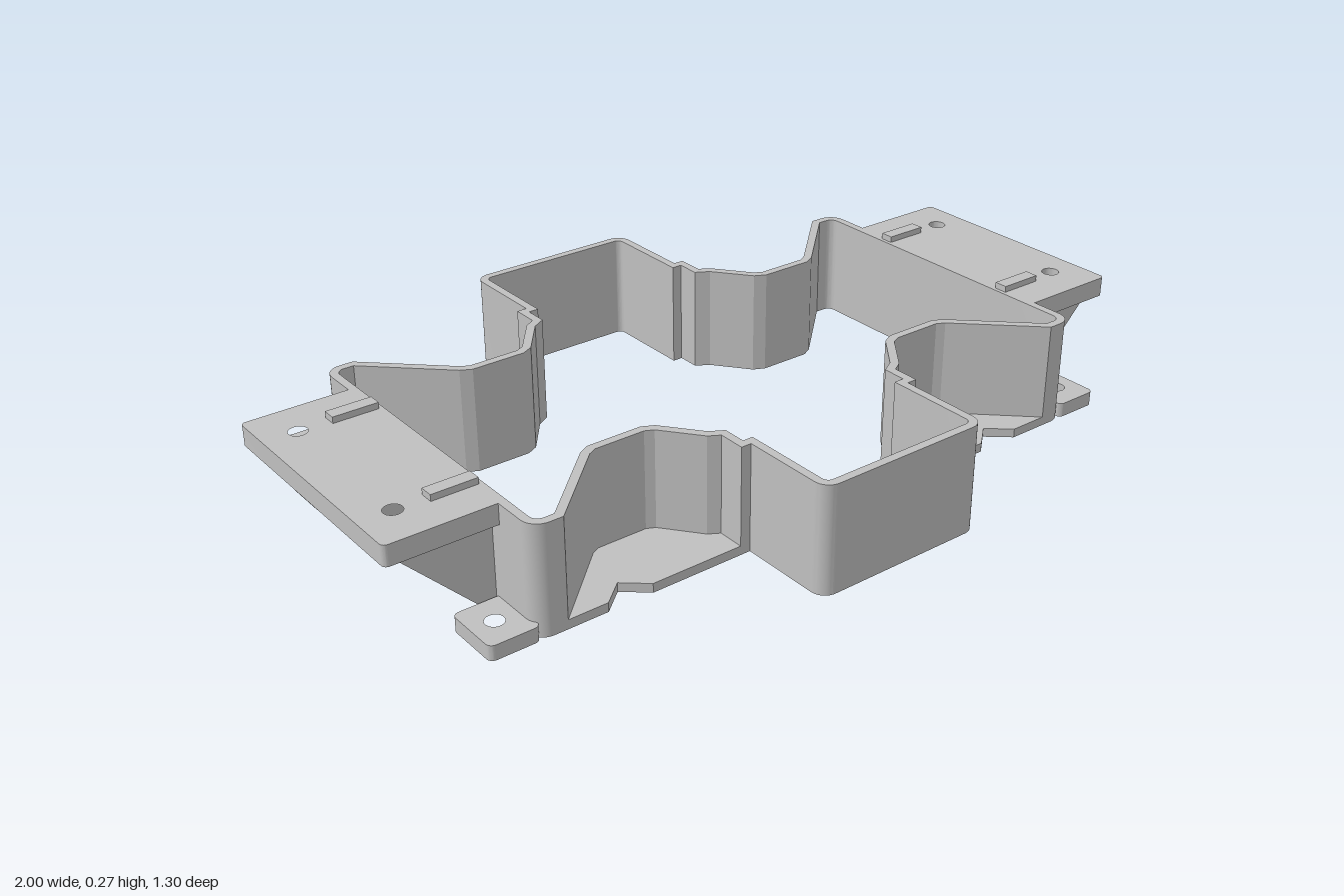
import * as THREE from 'three';
import { toCreasedNormals } from 'three/addons/utils/BufferGeometryUtils.js';

const HEIGHT = 0.258;
const WALL = 0.02;

// Points of a rounded corner, from angle a0 to a1 (degrees)
function arc(cx, cz, r, a0, a1, steps = 8) {
  return Array.from({ length: steps + 1 }, (_, i) => {
    const a = THREE.MathUtils.degToRad(a0 + ((a1 - a0) * i) / steps);
    return [cx + r * Math.cos(a), cz + r * Math.sin(a)];
  });
}

// Closed outline moved sideways by d with mitred corners
function offset(points, d) {
  const n = points.length;
  const normal = (a, b) => {
    const l = Math.hypot(b[0] - a[0], b[1] - a[1]);
    return [(b[1] - a[1]) / l, (a[0] - b[0]) / l];
  };
  return points.map((p, i) => {
    const u = normal(points[(i + n - 1) % n], p);
    const v = normal(p, points[(i + 1) % n]);
    const k = d / (1 + u[0] * v[0] + u[1] * v[1]);
    return [p[0] + (u[0] + v[0]) * k, p[1] + (u[1] + v[1]) * k];
  });
}

const toVectors = (points) => points.map(([x, z]) => new THREE.Vector2(x, z));

// Plan outline (x, z) raised from y0 to y1; only the fine arcs are smoothed
function slab(points, holes, y0, y1) {
  const shape = new THREE.Shape(toVectors(points));
  holes.forEach((h) => shape.holes.push(new THREE.Path(toVectors(h))));
  const geo = new THREE.ExtrudeGeometry(shape, { depth: y1 - y0, bevelEnabled: false });
  geo.rotateX(Math.PI / 2).translate(0, y1, 0);
  return toCreasedNormals(geo, 0.22);
}

function roundedRect(x0, x1, z0, z1, r) {
  return [
    ...arc(x1 - r, z1 - r, r, 0, 90), ...arc(x0 + r, z1 - r, r, 90, 180),
    ...arc(x0 + r, z0 + r, r, 180, 270), ...arc(x1 - r, z0 + r, r, 270, 360),
  ];
}

const hole = (x, z) => arc(x, z, 0.021, 0, 350, 35);

export function createModel() {
  const model = new THREE.Group();
  model.name = 'mountingFrame';
  const grey = new THREE.MeshStandardMaterial({ color: 0xc0c0c0 });
  grey.name = 'lightGrey';

  const add = (name, geometry) => {
    const mesh = new THREE.Mesh(geometry, grey);
    mesh.name = name;
    model.add(mesh);
  };

  // Centreline of the angled pocket wall in one quadrant
  const pocket = [
    [0.682, 0.409], [0.508, 0.243], [0.485, 0.231], [0.357, 0.231], [0.333, 0.243],
    [0.264, 0.331], [0.235, 0.348], [0.235, 0.409],
  ];
  // Centreline of the wall from the end to the middle of the long side
  const quadrant = [
    ...arc(0.71, 0.379, 0.03, 0, 90), ...pocket, [0.21, 0.409],
    ...arc(0.185, 0.614, 0.025, 0, 90),
  ];
  const mirror = (points, sx, sz) => points.map(([x, z]) => [x * sx, z * sz]);
  const reversed = [...quadrant].reverse();
  const ring = [
    ...quadrant, ...mirror(reversed, -1, 1),
    ...mirror(quadrant, -1, -1), ...mirror(reversed, 1, -1),
  ];
  add('perimeterWall', slab(offset(ring, WALL / 2), [offset(ring, -WALL / 2)], 0, HEIGHT));

  // Notched floor inside each outer pocket
  const floor = [
    ...pocket, [0.235, 0.419], [0.472, 0.419], [0.527, 0.372], [0.582, 0.419], [0.682, 0.419],
  ];
  for (const sx of [-1, 1]) {
    for (const sz of [-1, 1]) {
      add('pocketFloor', slab(mirror(floor, sx, sz), [], 0, 0.022));

      // Low screw tab beside each corner
      const tab = roundedRect(0.74, 0.857, 0.28, 0.419, 0.015);
      add('screwTab', slab(mirror(tab, sx, sz), [mirror(hole(0.802, 0.349), sx, sz)], 0, 0.035));

      // Locating bar on top of the shelf
      const bar = new THREE.BoxGeometry(0.108, 0.025, 0.033);
      bar.translate(sx * 0.794, 0.2605, sz * 0.2);
      add('locatingBar', bar);
    }

    // Wide shelf at each end
    const shelf = roundedRect(0.737, 1, -0.302, 0.302, 0.012);
    const holes = [-0.198, 0.198].map((z) => mirror(hole(0.92, z), sx, 1));
    add('endShelf', slab(mirror(shelf, sx, 1), holes, 0.21, HEIGHT));

    // Triangular gussets under the shelf
    for (const z of [-0.256, 0, 0.256]) {
      const side = [[0.742, 0], [0.765, 0], [0.975, 0.212], [0.742, 0.212]];
      const geo = new THREE.ExtrudeGeometry(new THREE.Shape(toVectors(mirror(side, sx, 1))), {
        depth: 0.035, bevelEnabled: false,
      });
      add('gusset', geo.translate(0, 0, z - 0.0175));
    }
  }
  return model;
}
